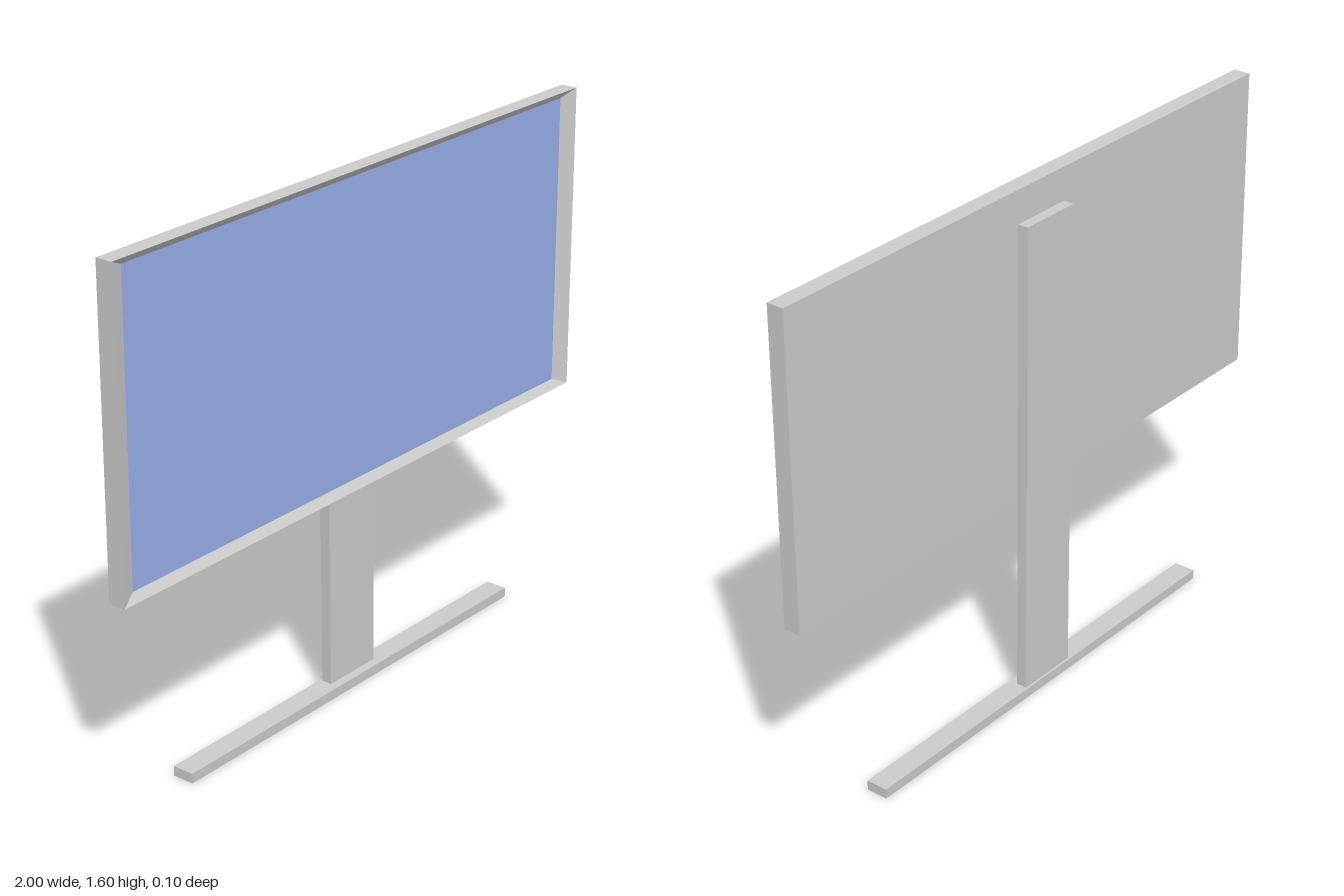
import * as THREE from 'three';

const grey = new THREE.MeshStandardMaterial({ color: 0xcccccc, flatShading: true });
const blue = new THREE.MeshStandardMaterial({ color: 0x98aee8, flatShading: true });

function add(group, name, geometry, material, x, y, z) {
  const mesh = new THREE.Mesh(geometry, material);
  mesh.name = name;
  mesh.position.set(x, y, z);
  group.add(mesh);
  return mesh;
}

// Joins rectangular rings [halfWidth, halfHeight, z] from back to front; the back is closed.
function rectangularShell(rings) {
  const corners = rings.map(([w, h, z]) => [[-w, -h, z], [w, -h, z], [w, h, z], [-w, h, z]]);
  const positions = [];
  const quad = (a, b, c, d) => positions.push(...a, ...b, ...c, ...a, ...c, ...d);
  const [a, b, c, d] = corners[0];
  quad(d, c, b, a);
  for (let r = 0; r < rings.length - 1; r++) {
    for (let i = 0; i < 4; i++) {
      const j = (i + 1) % 4;
      quad(corners[r][i], corners[r][j], corners[r + 1][j], corners[r + 1][i]);
    }
  }
  const geometry = new THREE.BufferGeometry();
  geometry.setAttribute('position', new THREE.Float32BufferAttribute(positions, 3));
  geometry.computeVertexNormals();
  return geometry;
}

export function createModel() {
  const model = new THREE.Group();
  model.name = 'monitor';

  // Housing with a bevel sloping inwards to the recessed screen
  const screenY = 1.123;
  const halfW = 0.946, halfH = 0.448, recessZ = 0.03;
  const housing = rectangularShell([
    [1, 0.472, -0.003],
    [1, 0.472, 0.05],
    [halfW, halfH, recessZ],
  ]);
  add(model, 'housing', housing, grey, 0, screenY, 0);
  add(model, 'screen', new THREE.PlaneGeometry(halfW * 2, halfH * 2), blue, 0, screenY, recessZ);

  // Upright behind the housing, leaning very slightly to one side
  const upright = new THREE.BoxGeometry(0.2, 1.475, 0.033);
  const p = upright.attributes.position;
  for (let i = 0; i < p.count; i++) p.setX(i, p.getX(i) - 0.0088 * p.getY(i));
  upright.computeVertexNormals();
  add(model, 'upright', upright, grey, 0.004, 0.7625, -0.0265);

  // Long flat foot
  add(model, 'foot', new THREE.BoxGeometry(1.467, 0.03, 0.068), grey, 0.007, 0.015, -0.016);

  return model;
}
